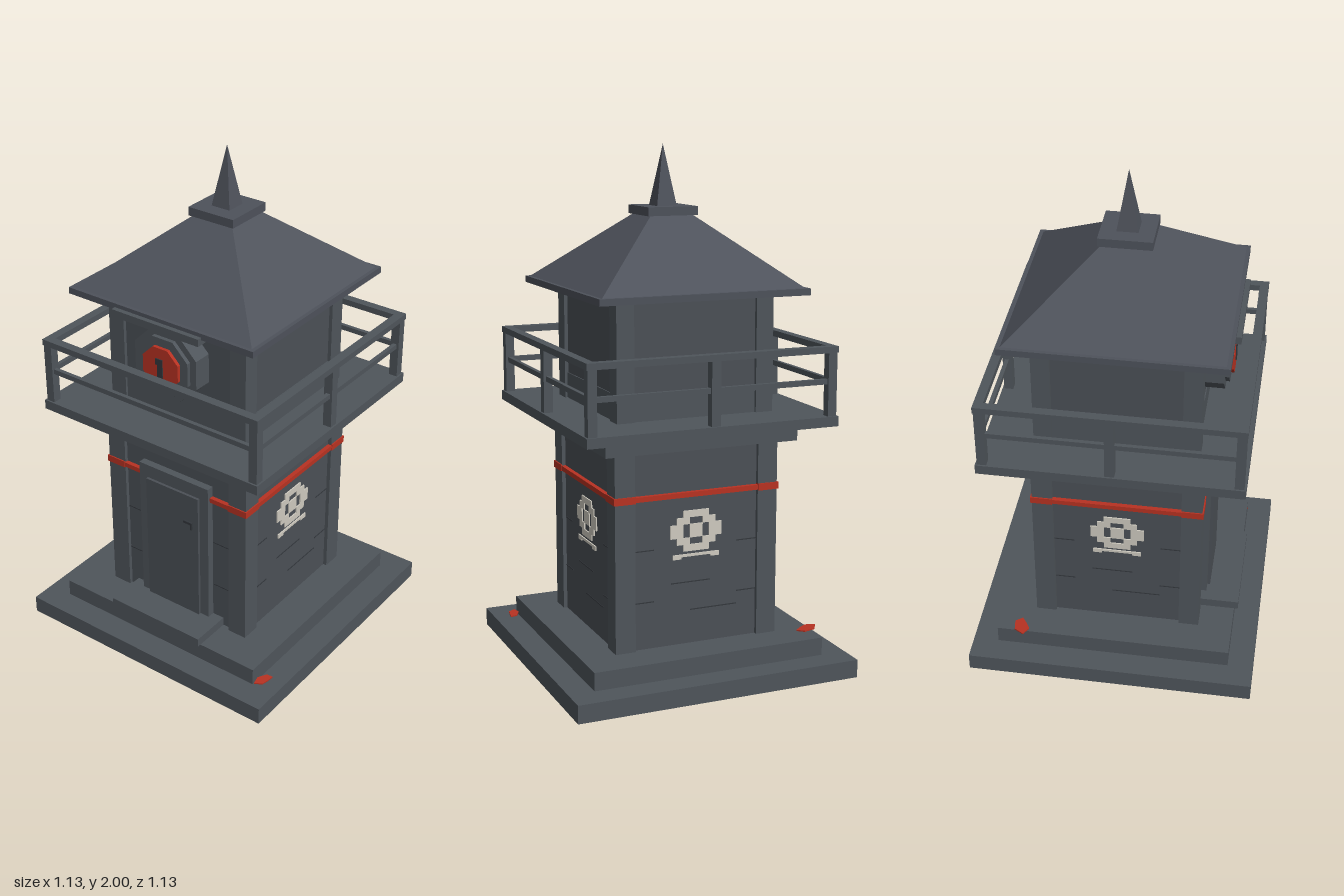
import * as THREE from 'three';

const flat = (name, color) => {
  const m = new THREE.MeshStandardMaterial({ color });
  m.name = name;
  return m;
};

export function createModel() {
  const stone = flat('stone', 0x4f555b);
  const wall = flat('wall', 0x4b5056);
  const slate = flat('roof slate', 0x4e525b);
  const dark = flat('dark seam', 0x33373c);
  const red = flat('signal red', 0xb83222);
  const pale = flat('pale paint', 0xcfcbc0);

  const model = new THREE.Group();
  model.name = 'watchtower';

  const add = (parent, name, geo, mat) => {
    const mesh = new THREE.Mesh(geo, mat);
    mesh.name = name;
    parent.add(mesh);
    return mesh;
  };
  // box given by its limits on each axis
  const box = (parent, name, mat, x0, x1, y0, y1, z0, z1) => {
    const mesh = add(parent, name, new THREE.BoxGeometry(x1 - x0, y1 - y0, z1 - z0), mat);
    mesh.position.set((x0 + x1) / 2, (y0 + y1) / 2, (z0 + z1) / 2);
    return mesh;
  };
  // square slab centred on the tower axis
  const slab = (name, mat, r, y0, y1) => box(model, name, mat, -r, r, y0, y1, -r, r);
  // four-sided taper
  const taper = (name, mat, top, bottom, y0, y1) => {
    const s = Math.SQRT2;
    const geo = new THREE.CylinderGeometry(top * s, bottom * s, y1 - y0, 4).rotateY(Math.PI / 4).toNonIndexed();
    geo.computeVertexNormals();
    add(model, name, geo, mat).position.y = (y0 + y1) / 2;
  };

  // stacked masses
  slab('lowerPlinth', stone, 0.565, 0, 0.07);
  slab('upperPlinth', stone, 0.465, 0.07, 0.14);
  slab('towerWalls', wall, 0.315, 0.14, 0.905);
  slab('galleryCorbel', stone, 0.385, 0.905, 0.972);
  slab('galleryDeck', stone, 0.497, 0.972, 1.01);
  slab('lanternWalls', wall, 0.3, 1.01, 1.455);
  slab('eaves', slate, 0.415, 1.455, 1.48);
  taper('roof', slate, 0.08, 0.4, 1.48, 1.742);
  slab('roofCap', slate, 0.1, 1.737, 1.77);
  taper('spire', slate, 0, 0.04, 1.77, 2);

  // painted eye sign, one character per pixel
  const eye = ['..####..', '.##..##.', '##.##.##', '##.##.##', '.##..##.', '..####..'];
  const emblem = (parent) => {
    const g = new THREE.Group();
    g.name = 'eyeEmblem';
    parent.add(g);
    const p = 0.0262;
    eye.forEach((row, j) => [...row].forEach((c, i) => {
      if (c !== '#') return;
      const x = (i - 4) * p, y = 0.66 - (j + 1) * p;
      box(g, 'emblemPixel', pale, x, x + p, y, y + p, 0.314, 0.32);
    }));
    box(g, 'emblemBar', pale, -0.06, 0.06, 0.482, 0.492, 0.314, 0.32);
    for (const s of [-1, 1]) {
      box(g, 'emblemBarEnd', pale, s * 0.0775 - 0.0175, s * 0.0775 + 0.0175, 0.474, 0.492, 0.314, 0.32);
    }
  };

  // four sides: 0 front, 1 left, 2 back, 3 right
  for (let k = 0; k < 4; k++) {
    const side = new THREE.Group();
    side.name = ['frontSide', 'leftSide', 'backSide', 'rightSide'][k];
    side.rotation.y = k * Math.PI / 2;
    model.add(side);

    // corner posts of tower and lantern room
    box(side, 'towerCorner', stone, 0.25, 0.33, 0.14, 0.905, 0.25, 0.33);
    box(side, 'lanternCorner', stone, 0.245, 0.314, 1.01, 1.455, 0.245, 0.314);
    box(side, 'lanternSill', stone, -0.245, 0.245, 1.01, 1.11, 0.299, 0.304);

    // red band, broken by the door at the front
    box(side, 'bandCorner', red, 0.25, 0.335, 0.711, 0.738, 0.25, 0.335);
    if (k === 0) {
      box(side, 'band', red, -0.25, -0.165, 0.715, 0.734, 0.31, 0.333);
      box(side, 'band', red, 0.165, 0.25, 0.715, 0.734, 0.31, 0.333);
    } else {
      box(side, 'band', red, -0.25, 0.25, 0.715, 0.734, 0.31, 0.333);
      emblem(side);
    }

    // staggered masonry seams
    const seams = [[-0.25, -0.17, 0.32], [0.17, 0.25, 0.32], [-0.25, -0.17, 0.52], [0.17, 0.25, 0.52]];
    if (k > 0) seams.push([-0.1, 0.06, 0.38], [-0.02, 0.17, 0.27]);
    for (const [x0, x1, y] of seams) box(side, 'seam', dark, x0, x1, y, y + 0.004, 0.314, 0.317);

    // gallery railing
    box(side, 'railCornerPost', stone, 0.455, 0.49, 1.01, 1.262, 0.455, 0.49);
    box(side, 'topRail', stone, -0.493, 0.493, 1.248, 1.272, 0.458, 0.493);
    box(side, 'middleRail', stone, -0.465, 0.465, 1.13, 1.15, 0.465, 0.481);
    if (k > 0) box(side, 'railMiddlePost', stone, -0.018, 0.018, 1.01, 1.255, 0.455, 0.49);
  }

  // door and step
  box(model, 'doorStep', stone, -0.215, 0.215, 0.14, 0.175, 0.31, 0.48);
  box(model, 'doorFrame', stone, -0.165, 0.165, 0.14, 0.777, 0.31, 0.345);
  box(model, 'door', wall, -0.125, 0.125, 0.175, 0.722, 0.34, 0.356);
  box(model, 'doorHandle', dark, 0.06, 0.1, 0.597, 0.607, 0.355, 0.364);
  box(model, 'doorHandle', dark, 0.092, 0.1, 0.575, 0.607, 0.355, 0.364);

  // octagonal signal lamp
  const octagon = (name, mat, apothem, z0, z1) => {
    const r = apothem / Math.cos(Math.PI / 8);
    const geo = new THREE.CylinderGeometry(r, r, z1 - z0, 8).rotateY(Math.PI / 8).rotateX(Math.PI / 2).toNonIndexed();
    geo.computeVertexNormals();
    add(model, name, geo, mat).position.set(0, 1.273, (z0 + z1) / 2);
  };
  octagon('lampHousing', stone, 0.14, 0.29, 0.375);
  octagon('lampBezel', stone, 0.113, 0.37, 0.391);
  octagon('lampLens', red, 0.08, 0.385, 0.405);
  box(model, 'lampSlit', dark, -0.012, 0.012, 1.235, 1.31, 0.403, 0.409);
  box(model, 'lampSlit', dark, -0.02, 0.012, 1.285, 1.31, 0.403, 0.409);
  box(model, 'lampHood', stone, -0.195, 0.195, 1.436, 1.465, 0.3, 0.434);

  // fallen red leaves on the plinth
  const leaf = (x, y, z, sx, sz, turn) => {
    const pts = [[-1, 0], [-0.4, -0.8], [0.3, -0.6], [1, -0.3], [0.7, 0.6], [-0.3, 0.8]];
    const shape = new THREE.Shape(pts.map(([a, b]) => new THREE.Vector2(a * sx, b * sz)));
    const geo = new THREE.ExtrudeGeometry(shape, { depth: 0.005, bevelEnabled: false }).rotateX(-Math.PI / 2);
    const mesh = add(model, 'fallenLeaf', geo, red);
    mesh.position.set(x, y, z);
    mesh.rotation.set(0.04, turn, -0.06);
  };
  leaf(0.488, 0.078, 0.43, 0.04, 0.025, 1.2);
  leaf(-0.45, 0.147, -0.37, 0.046, 0.036, 0.3);

  return model;
}
